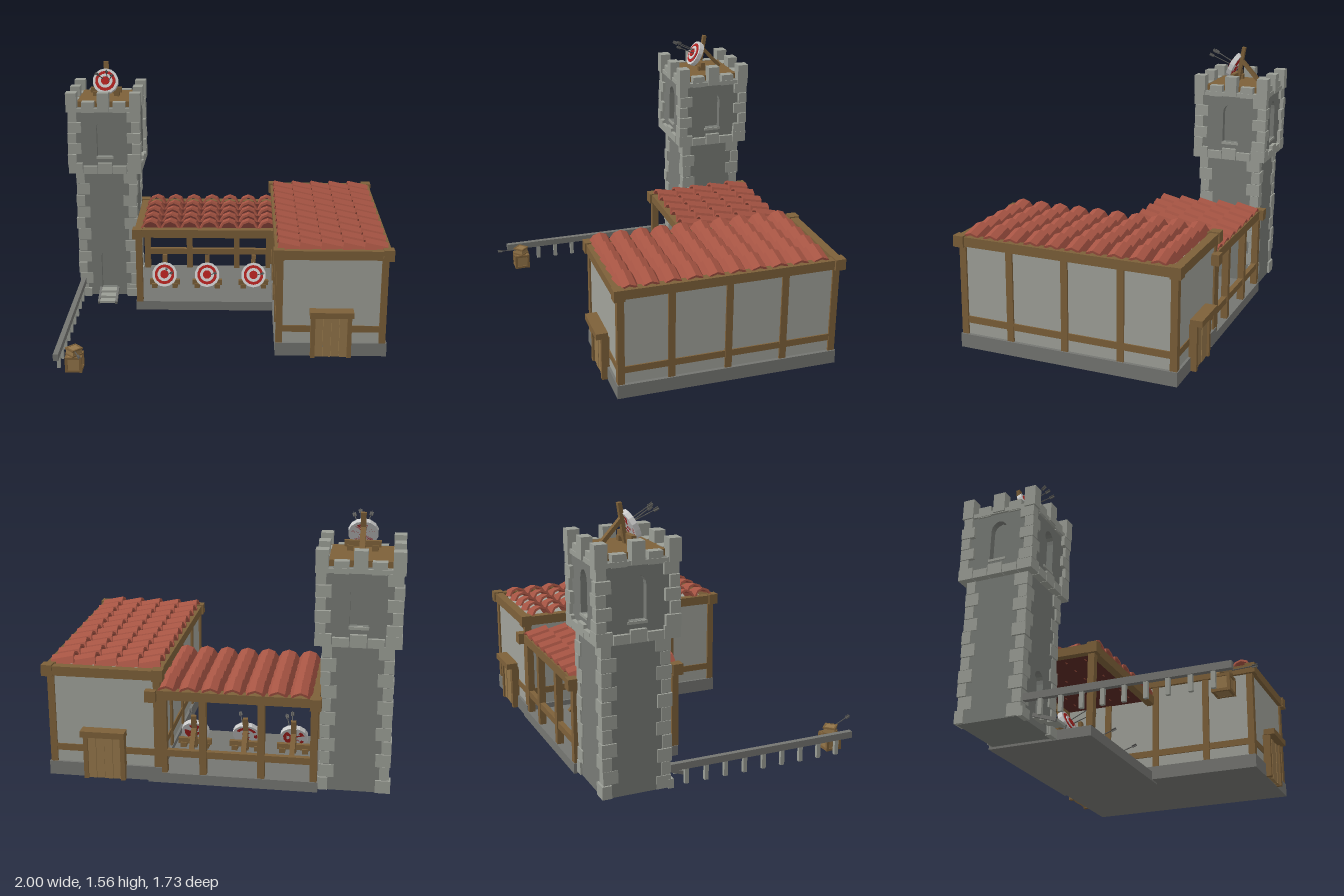
import * as THREE from 'three';

const mat = (color) => new THREE.MeshStandardMaterial({ color, flatShading: true });
const M = {
  stone: mat(0x777a75), block: mat(0x9b9e96), plaster: mat(0xa0a29a), base: mat(0x757672),
  wood: mat(0x7d6039), plank: mat(0x94764a), tile: mat(0xa65443), under: mat(0x5a2a24),
  red: mat(0xb0211f), white: mat(0xd2d2ce), metal: mat(0x5c5c5a),
};
M.tile.side = THREE.DoubleSide;

let seed = 7;
const rnd = () => (seed = (seed * 16807) % 2147483647) / 2147483647;

function add(parent, name, geo, m, x = 0, y = 0, z = 0) {
  const mesh = new THREE.Mesh(geo, m);
  mesh.name = name;
  mesh.position.set(x, y, z);
  parent.add(mesh);
  return mesh;
}
// box given by its limits
const slab = (p, name, m, x0, x1, y0, y1, z0, z1) =>
  add(p, name, new THREE.BoxGeometry(x1 - x0, y1 - y0, z1 - z0), m, (x0 + x1) / 2, (y0 + y1) / 2, (z0 + z1) / 2);
// box given by its centre
const block = (p, name, m, w, h, d, x, y, z) => add(p, name, new THREE.BoxGeometry(w, h, d), m, x, y, z);

function group(parent, name, x = 0, y = 0, z = 0) {
  const g = new THREE.Group();
  g.name = name;
  g.position.set(x, y, z);
  parent.add(g);
  return g;
}

// bar or arrow running between two points
function between(g, a, b) {
  const A = new THREE.Vector3(...a), B = new THREE.Vector3(...b);
  g.position.copy(A).add(B).multiplyScalar(0.5);
  g.quaternion.setFromUnitVectors(new THREE.Vector3(0, 1, 0), B.clone().sub(A).normalize());
  return A.distanceTo(B);
}
function arrow(parent, a, b) {
  const g = group(parent, 'arrow');
  const len = between(g, a, b);
  add(g, 'arrowShaft', new THREE.CylinderGeometry(0.003, 0.003, len, 6), M.metal);
  for (const r of [0, Math.PI / 2])
    block(g, 'arrowFletching', M.metal, 0.02, 0.03, 0.003, 0, len / 2 - 0.015, 0).rotation.y = r;
}

// wall panel with an optional arched opening, facing +z
function wallPanel(half, y0, y1, arch) {
  const s = new THREE.Shape([[-half, y0], [half, y0], [half, y1], [-half, y1]].map((p) => new THREE.Vector2(...p)));
  if (arch) {
    const [w, a, b] = arch, h = new THREE.Path();
    h.moveTo(-w, a);
    h.lineTo(-w, b - w * 1.2);
    h.quadraticCurveTo(-w, b - w * 0.2, 0, b);
    h.quadraticCurveTo(w, b - w * 0.2, w, b - w * 1.2);
    h.lineTo(w, a);
    s.holes.push(h);
  }
  return new THREE.ExtrudeGeometry(s, { depth: 0.04, bevelEnabled: false, curveSegments: 4 });
}

// alternating corner stones
function quoins(g, half, y0, y1, n) {
  const h = (y1 - y0) / n;
  for (const sx of [-1, 1]) for (const sz of [-1, 1]) for (let i = 0; i < n; i++) {
    const long = (i + (sx * sz > 0 ? 1 : 0)) % 2, j = 0.01 * rnd();
    const w = long ? 0.085 : 0.055, d = long ? 0.055 : 0.085, o = half - j;
    block(g, 'cornerStone', M.block, w, h - 0.004, d, sx * (o - w / 2), y0 + h * (i + 0.5), sz * (o - d / 2));
  }
}

function buildTower(root) {
  const t = group(root, 'tower', -0.765, 0, -0.59);
  slab(t, 'lowerCore', M.stone, -0.151, 0.151, 0.01, 0.9, -0.151, 0.151);
  slab(t, 'upperCore', M.stone, -0.172, 0.172, 0.88, 1.3, -0.172, 0.172);
  slab(t, 'towerFloor', M.wood, -0.18, 0.18, 1.29, 1.335, -0.18, 0.18);
  quoins(t, 0.203, 0.01, 0.87, 11);
  quoins(t, 0.237, 0.93, 1.28, 5);
  for (let k = 0; k < 4; k++) {
    const side = group(t, 'towerSide');
    side.rotation.y = k * Math.PI / 2;
    add(side, 'lowerWall', wallPanel(0.19, 0.01, 0.88, k === 0 && [0.05, 0.06, 0.34]), M.stone, 0, 0, 0.15);
    add(side, 'upperWall', wallPanel(0.212, 0.88, 1.3, [0.05, 0.98, 1.225]), M.stone, 0, 0, 0.172);
    slab(side, 'windowSill', M.block, -0.055, 0.055, 0.965, 0.98, 0.19, 0.218);
    for (let i = -2; i <= 2; i++) // stone band
      block(side, 'bandStone', M.block, 0.09, i % 2 ? 0.05 : 0.07, 0.05, i * 0.0945, 0.87 + (i % 2 ? 0.025 : 0.035), 0.209);
    slab(side, 'parapet', M.block, -0.22, 0.22, 1.275, 1.3, 0.175, 0.226);
    for (const s of [-1, 1]) slab(side, 'parapetStone', M.block, s * 0.1 - 0.04, s * 0.1 + 0.04, 1.27, 1.338, 0.17, 0.222);
    slab(side, 'merlon', M.block, -0.037, 0.037, 1.28, 1.4, 0.172, 0.235);
    slab(side, 'cornerMerlon', M.block, 0.168, 0.237, 1.275, 1.4, 0.168, 0.237);
  }
  // entrance steps
  for (let i = 0; i < 3; i++)
    slab(t, 'step', M.block, -0.05, 0.05, 0.045 - i * 0.018, 0.06 - i * 0.018, 0.19 + i * 0.045, 0.25 + i * 0.045);
  for (const s of [-1, 1]) {
    const b = block(t, 'stringer', M.base, 0.015, 0.02, 0.15, s * 0.057, 0.036, 0.268);
    b.rotation.x = 0.33;
    slab(t, 'footStone', M.block, s * 0.16 - 0.04, s * 0.16 + 0.04, 0.005, 0.06, 0.18, 0.212);
  }
}

// arched roof tiles; ridges run along local z, high ends toward +z
function tileRoof(parent, name, cols, pitch, rows, step) {
  const g = group(parent, name);
  const out = [[-0.063, 0], [-0.04, 0.038], [0, 0.054], [0.04, 0.038], [0.063, 0]];
  const inn = [[0.05, 0], [0.033, 0.026], [0, 0.04], [-0.033, 0.026], [-0.05, 0]];
  const shape = new THREE.Shape([...out, ...inn].map((p) => new THREE.Vector2(...p)));
  const geo = new THREE.ExtrudeGeometry(shape, { depth: step * 1.08, bevelEnabled: false });
  geo.translate(0, 0, -step * 0.54);
  for (let c = 0; c < cols; c++) for (let r = 0; r < rows; r++) {
    const m = add(g, 'roofTile', geo, M.tile, (c - (cols - 1) / 2) * pitch, 0, (r - (rows - 1) / 2) * step);
    m.rotation.x = -0.22;
  }
  return g;
}

function buildHouse(root) {
  const h = group(root, 'house');
  slab(h, 'foundation', M.base, 0.32, 0.98, 0.01, 0.092, -0.81, 0.5);
  slab(h, 'walls', M.plaster, 0.335, 0.96, 0.09, 0.645, -0.795, 0.485);
  for (const x of [0.343, 0.952]) {
    for (const z of [0.475, 0.185, -0.15, -0.48, -0.785])
      block(h, 'post', M.wood, 0.04, 0.54, 0.04, x, 0.36, z);
    block(h, 'sideRail', M.wood, 0.032, 0.04, 1.27, x, 0.18, -0.155);
    block(h, 'sideBeam', M.wood, 0.05, 0.055, 1.34, x === 0.343 ? 0.34 : 0.96, 0.648, -0.155);
  }
  for (const [z, s] of [[0.475, 1], [-0.785, -1]]) {
    block(h, 'endRail', M.wood, 0.6, 0.04, 0.032, 0.648, 0.18, z);
    block(h, 'endBeam', M.wood, 0.68, 0.055, 0.05, 0.648, 0.648, z + s * 0.01);
    for (const x of [0.335, 0.968]) block(h, 'beamEnd', M.wood, 0.062, 0.066, 0.062, x, 0.65, z + s * 0.012);
    // plank door with frame and lintel
    const d = group(h, 'door', 0.648, 0, z + s * 0.02);
    for (let i = 0; i < 4; i++)
      block(d, 'doorPlank', M.plank, 0.046, 0.26, 0.03, (i - 1.5) * 0.048, 0.145, s * (0.01 + 0.003 * (i % 2)));
    for (const e of [-1, 1]) block(d, 'doorJamb', M.wood, 0.026, 0.27, 0.046, e * 0.107, 0.147, s * 0.015);
    block(d, 'lintel', M.wood, 0.255, 0.036, 0.07, 0, 0.296, s * 0.035);
  }
  const roof = tileRoof(h, 'houseRoof', 10, 0.124, 5, 0.125);
  roof.rotation.y = -Math.PI / 2;
  roof.position.set(0.643, 0.662, -0.135);
}

function buildShed(root) {
  const s = group(root, 'shed');
  slab(s, 'shedFloor', M.base, -0.565, 0.4, 0, 0.06, -0.81, -0.17);
  slab(s, 'roofUnderside', M.under, -0.53, 0.33, 0.54, 0.548, -0.79, -0.18);
  for (const x of [-0.54, -0.245, 0.085, 0.31]) slab(s, 'backPost', M.wood, x - 0.02, x + 0.02, 0.06, 0.51, -0.805, -0.765);
  slab(s, 'frontPost', M.wood, -0.56, -0.52, 0.06, 0.51, -0.205, -0.165);
  slab(s, 'backRail', M.wood, -0.54, 0.33, 0.16, 0.2, -0.8, -0.77);
  for (const z of [-0.185, -0.785]) {
    slab(s, 'longBeam', M.wood, -0.56, 0.335, 0.505, 0.558, z - 0.025, z + 0.025);
    block(s, 'beamEnd', M.wood, 0.062, 0.066, 0.062, -0.547, 0.53, z < -0.5 ? z - 0.02 : z + 0.01);
  }
  block(s, 'beamEnd', M.wood, 0.062, 0.066, 0.062, 0.375, 0.53, -0.81);
  slab(s, 'sideBeam', M.wood, -0.565, -0.52, 0.505, 0.558, -0.8, -0.17);
  tileRoof(s, 'shedRoof', 7, 0.125, 5, 0.125).position.set(-0.087, 0.553, -0.485);
}

// archery target on a braced stand; origin on the floor under the disc
function buildTarget(root, x, y, z, arrows) {
  const t = group(root, 'archeryTarget', x, y, z);
  const disc = group(t, 'targetDisc', 0, 0.095, 0);
  disc.rotation.x = -0.46;
  [[0.083, 0.03, M.white], [0.066, 0.034, M.red], [0.047, 0.038, M.white], [0.028, 0.042, M.red]].forEach(([r, d, m]) => {
    const c = add(disc, 'targetRing', new THREE.CylinderGeometry(r, r, d, 14), m, 0, 0, d / 2 - 0.015);
    c.rotation.x = Math.PI / 2;
  });
  for (const [a, b, c, d] of arrows) arrow(disc, [a, b, 0.01], [c, d, 0.165]);
  for (const [a, b] of [[[0, 0, -0.028], [0, 0.215, -0.062]], [[0, 0.135, -0.045], [0, 0, -0.17]]]) {
    const g = group(t, 'standLeg');
    block(g, 'standBar', M.wood, 0.03, between(g, a, b), 0.022, 0, 0, 0);
  }
  block(t, 'standCrossbar', M.wood, 0.2, 0.034, 0.026, 0, 0.037, -0.02);
  for (const s of [-1, 1]) block(t, 'standFoot', M.wood, 0.035, 0.03, 0.05, s * 0.068, 0.014, -0.02);
}

function buildYard(root) {
  const f = group(root, 'fence');
  slab(f, 'fenceRail', M.base, -0.95, -0.92, 0.095, 0.135, -0.39, 0.77);
  for (let i = 0; i < 9; i++) block(f, 'fencePost', M.block, 0.02, 0.095, 0.024, -0.935, 0.053, 0.67 - i * 0.12);

  // stacked crates
  const c = group(root, 'crates', -0.84, 0, 0.69);
  slab(c, 'crate', M.plank, -0.042, 0.042, 0.008, 0.098, -0.042, 0.042);
  for (const a of [-1, 1]) for (const b of [-1, 1]) {
    block(c, 'crateCorner', M.wood, 0.016, 0.094, 0.016, a * 0.041, 0.053, b * 0.041);
    for (const y of [0.014, 0.093]) if (b > 0) {
      block(c, 'crateEdge', M.wood, 0.09, 0.014, 0.014, 0, y, a * 0.042);
      block(c, 'crateEdge', M.wood, 0.014, 0.014, 0.09, a * 0.042, y, 0);
    }
  }
  const top = block(c, 'topCrate', M.plank, 0.066, 0.042, 0.066, 0, 0.12, 0);
  top.rotation.y = Math.PI / 4;
  for (let k = 0; k < 4; k++) {
    const g = group(c, 'topCrateTrim');
    g.rotation.y = Math.PI / 4 + k * Math.PI / 2;
    for (const y of [0.104, 0.138]) block(g, 'topCrateEdge', M.wood, 0.072, 0.01, 0.01, 0, y, 0.032);
  }
  arrow(c, [0.005, 0.13, 0.02], [0.055, 0.16, 0.165]);
}

export function createModel() {
  const root = new THREE.Group();
  root.name = 'archeryRange';
  buildTower(root);
  buildHouse(root);
  buildShed(root);
  buildYard(root);
  const three = [[-0.01, 0.01, -0.04, 0.01], [0.01, 0.02, 0.025, 0.025], [0.02, 0, 0.06, 0]];
  buildTarget(root, -0.765, 1.343, -0.54, three);
  buildTarget(root, -0.395, 0.06, -0.4, three.slice(1));
  buildTarget(root, -0.11, 0.06, -0.4, three.slice(2));
  buildTarget(root, 0.2, 0.06, -0.4, three.slice(2));
  return root;
}
